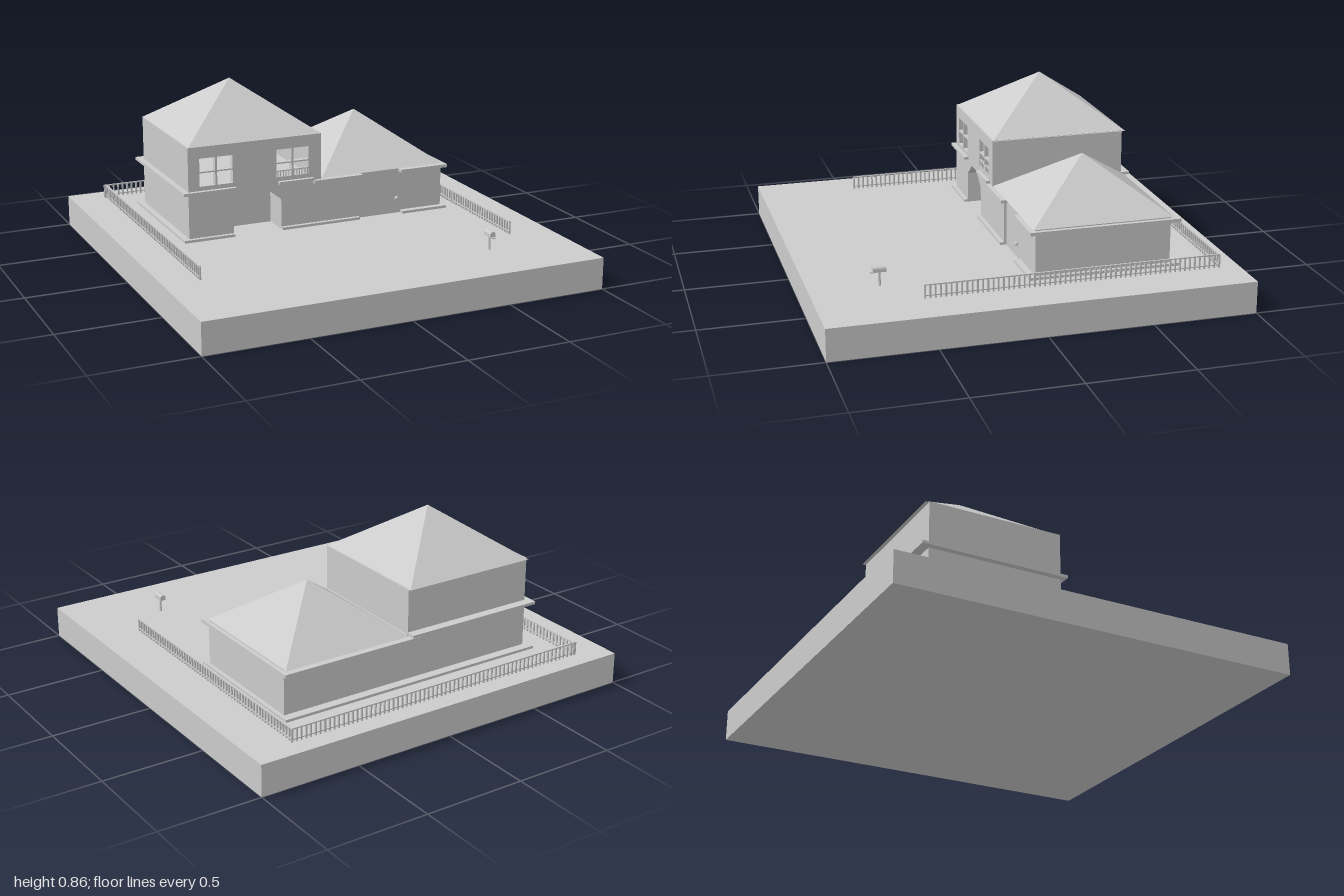
import * as THREE from 'three';
import { mergeGeometries } from 'three/addons/utils/BufferGeometryUtils.js';

const G = 0.155; // lawn level
const mat = new THREE.MeshStandardMaterial({ color: 0xcccccc, flatShading: true });

// Box given by its limits on each axis
function span(x0, x1, y0, y1, z0, z1) {
  return new THREE.BoxGeometry(x1 - x0, y1 - y0, z1 - z0)
    .translate((x0 + x1) / 2, (y0 + y1) / 2, (z0 + z1) / 2);
}

function rectPath(x0, x1, y0, y1) {
  return new THREE.Path([[x0, y0], [x0, y1], [x1, y1], [x1, y0]].map(p => new THREE.Vector2(...p))).closePath();
}

export function createModel() {
  const root = new THREE.Group();
  const add = (name, geo, parent = root) => {
    const mesh = new THREE.Mesh(Array.isArray(geo) ? mergeGeometries(geo) : geo, mat);
    mesh.name = name;
    parent.add(mesh);
    return mesh;
  };
  const group = name => {
    const g = new THREE.Group();
    g.name = name;
    root.add(g);
    return g;
  };

  add('ground', span(-1, 1, 0, G, -1, 1));

  // Two-storey wing: an arched porch below, a hollow room above
  const tall = group('tallWing');
  const arch = new THREE.Shape([
    [-0.68, G], [-0.45, G], [-0.45, 0.31], [-0.37, 0.375], [-0.28, 0.375],
    [-0.2, 0.31], [-0.2, G], [0.015, G], [0.015, 0.395], [-0.68, 0.395],
  ].map(p => new THREE.Vector2(...p)));
  add('archedWall', new THREE.ExtrudeGeometry(arch, { depth: 0.14, bevelEnabled: false }).translate(0, 0, -0.16), tall);
  add('lowerStorey', span(-0.68, 0.015, G, 0.395, -0.69, -0.16), tall);

  const front = new THREE.Shape([
    [-0.68, 0.395], [0.015, 0.395], [0.015, 0.62], [-0.68, 0.62],
  ].map(p => new THREE.Vector2(...p)));
  const windowLefts = [-0.622, -0.223];
  for (const x of windowLefts)
    for (const dx of [0, 0.09])
      for (const y of [0.423, 0.496])
        front.holes.push(rectPath(x + dx, x + dx + 0.08, y, y + 0.066));
  add('windowWall', new THREE.ExtrudeGeometry(front, { depth: 0.03, bevelEnabled: false }).translate(0, 0, -0.05), tall);
  add('upperWalls', [
    span(-0.68, -0.65, 0.395, 0.62, -0.69, -0.05),
    span(-0.015, 0.015, 0.395, 0.62, -0.69, -0.05),
    span(-0.65, -0.015, 0.395, 0.62, -0.69, -0.66),
  ], tall);

  // Small railing in the lower panes of the second window
  const rail = [span(-0.223, -0.053, 0.45, 0.455, -0.03, -0.022)];
  for (let i = 0; i < 12; i++) {
    const x = -0.218 + i * 0.0143;
    rail.push(span(x, x + 0.005, 0.423, 0.452, -0.03, -0.022));
  }
  add('windowRailing', rail, tall);

  // Low wing, with the door side set back a little
  const low = group('lowWing');
  add('lowBody', span(0.015, 0.69, G, 0.392, -0.69, -0.032), low);
  add('lowFrontWall', span(0.015, 0.22, G, 0.375, -0.032, -0.02), low);
  add('doorKnob', new THREE.SphereGeometry(0.01, 12, 8).translate(0.432, 0.236, -0.018), low);

  // Hipped pyramid roofs
  const roof = (name, x, y, h, w, parent) => {
    const geo = new THREE.ConeGeometry(Math.SQRT1_2, 1, 4).rotateY(Math.PI / 4);
    add(name, geo.scale(w, h, 0.685).translate(x, y + h / 2, -0.365), parent);
  };
  roof('tallRoof', -0.33, 0.617, 0.243, 0.695, tall);
  roof('lowRoof', 0.355, 0.39, 0.242, 0.67, low);

  // Ledges round the walls, broken at the arch and the door
  const ledge = (x0, x1, y0, y1, breaks) => {
    const parts = [span(x0, x1, y0, y1, -0.735, -0.69)];
    if (x0 < -0.6) parts.push(span(-0.71, -0.68, y0, y1, -0.69, 0));
    if (x1 > 0.6) parts.push(span(0.69, 0.71, y0, y1, -0.69, 0));
    for (const [a, b] of breaks) parts.push(span(a, b, y0, y1, -0.035, 0));
    return parts;
  };
  add('tallLedge', ledge(-0.71, 0.015, 0.388, 0.402, [[-0.71, -0.44], [-0.215, -0.03]]));
  add('lowLedge', ledge(-0.03, 0.71, 0.371, 0.387, [[-0.03, 0.235], [0.45, 0.71]]));
  add('baseLedge', ledge(-0.71, 0.71, G, 0.168, [[-0.7, -0.45], [-0.2, 0.22], [0.46, 0.71]]));

  // Picket fence on three sides
  const fence = (name, x0, z0, x1, z1, count) => {
    const alongX = x0 !== x1;
    const t = 0.004;
    const parts = [[0.216, 0.222], [0.166, 0.171]].map(([a, b]) => alongX
      ? span(x0, x1, a, b, z0 - t, z0 + t)
      : span(x0 - t, x0 + t, a, b, z0, z1));
    for (let i = 0; i <= count; i++) {
      const x = x0 + (x1 - x0) * i / count, z = z0 + (z1 - z0) * i / count;
      parts.push(span(x - t, x + t, G, 0.22, z - t, z + t));
    }
    add(name, parts);
  };
  fence('leftFence', 0.782, -0.9, 0.782, 0.51, 58);
  fence('rightFence', -0.822, -0.9, -0.822, 0.51, 58);
  fence('backFence', -0.83, -0.901, 0.784, -0.901, 66);

  // Mailbox with a rounded top and a small flap
  const box = group('mailbox');
  add('mailboxPost', new THREE.CylinderGeometry(0.006, 0.006, 0.075, 8).translate(0.575, G + 0.0375, 0.672), box);
  const outline = new THREE.Shape();
  outline.moveTo(-0.014, 0).lineTo(0.014, 0).lineTo(0.014, 0.013);
  outline.absarc(0, 0.013, 0.014, 0, Math.PI, false);
  outline.closePath();
  add('mailboxBody', new THREE.ExtrudeGeometry(outline, { depth: 0.062, bevelEnabled: false, curveSegments: 8 })
    .translate(0.575, 0.223, 0.642), box);
  add('mailboxFlap', span(0.567, 0.583, 0.219, 0.225, 0.7, 0.716), box);

  return root;
}
